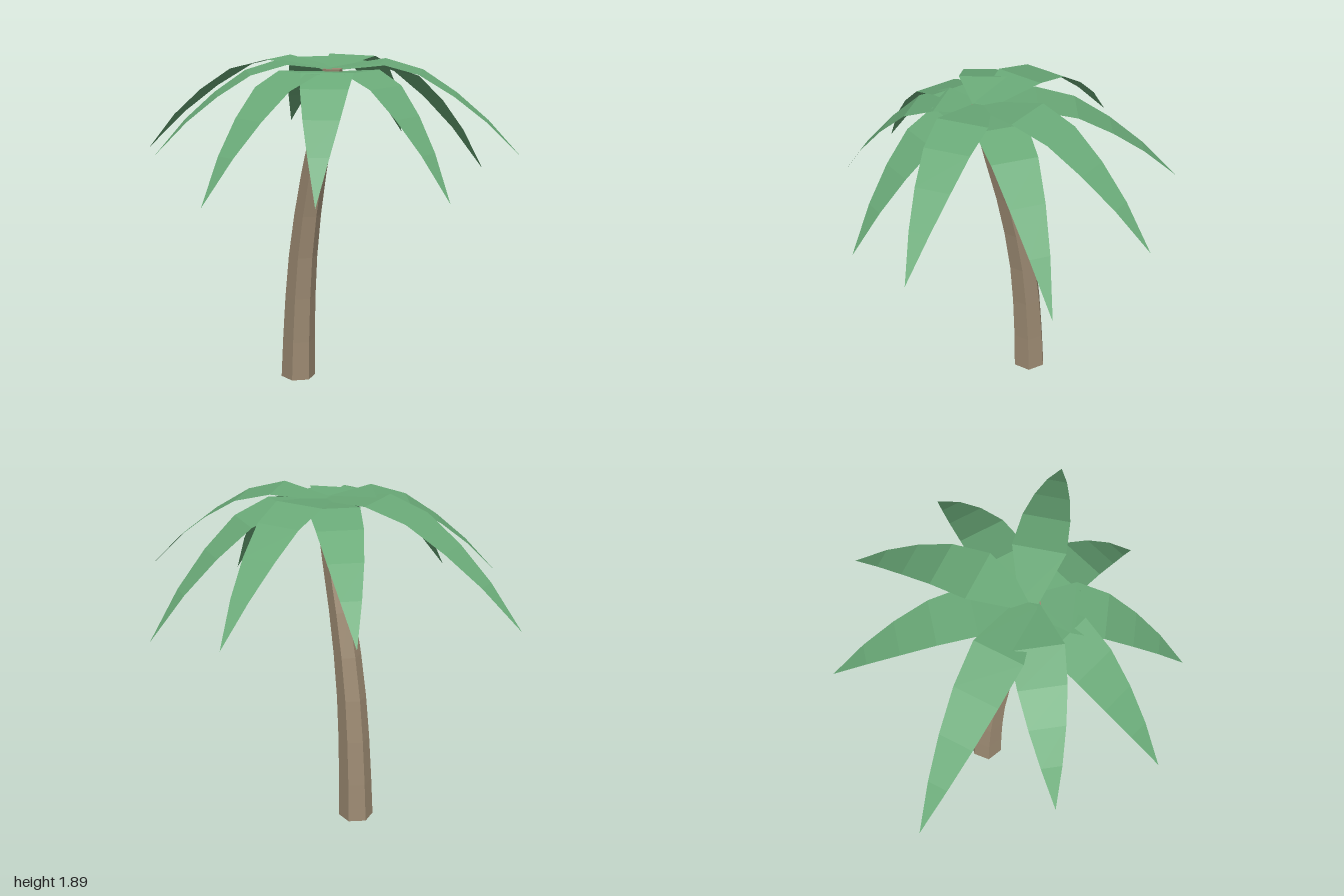
import * as THREE from 'three';

const barkMat = new THREE.MeshStandardMaterial({ color: 0x9c8a72, flatShading: true });
const leafMat = new THREE.MeshStandardMaterial({ color: 0x6aaa78, flatShading: true, side: THREE.DoubleSide });

const CROWN = new THREE.Vector3(0.13, 1.85, 0.035);

// Six-sided tapering trunk, bent along a curve
function makeTrunk() {
  const bend = new THREE.SplineCurve([
    [-0.167, 0], [-0.15, 0.4], [-0.11, 0.8], [-0.03, 1.2], [0.08, 1.6], [0.145, CROWN.y],
  ].map(([x, y]) => new THREE.Vector2(x, y)));
  const geo = new THREE.CylinderGeometry(0.055, 0.1, 1, 6, 8, false, Math.PI / 6);
  const pos = geo.attributes.position;
  for (let i = 0; i < pos.count; i++) {
    const t = THREE.MathUtils.clamp(pos.getY(i) + 0.5, 0, 1);
    const c = bend.getPoint(t);
    pos.setXYZ(i, pos.getX(i) + c.x, c.y, pos.getZ(i) + CROWN.z);
  }
  geo.computeVertexNormals();
  const mesh = new THREE.Mesh(geo, barkMat);
  mesh.name = 'trunk';
  return mesh;
}

// Leaf rows: share of the length, half width, share of the droop
const ROWS = [
  [0.27, 0.14, 0], [0.47, 0.125, 0.11], [0.65, 0.095, 0.34], [0.82, 0.055, 0.62], [1, 0, 1],
];

// Flat, drooping leaf from the crown to a pointed tip
function makeLeaf([tipX, tipY, tipZ, peakY]) {
  const dx = tipX - CROWN.x, dz = tipZ - CROWN.z;
  const length = Math.hypot(dx, dz);
  const sx = -dz / length, sz = dx / length;
  const baseY = peakY - (peakY > 1.87 ? 0.04 : 0.02);
  const verts = [], index = [];
  const addRow = (t, w, y) => {
    const x = CROWN.x + dx * t, z = CROWN.z + dz * t;
    verts.push(x + sx * w, y, z + sz * w, x - sx * w, y, z - sz * w);
  };
  addRow(0, 0.05, baseY);
  for (const [t, w, droop] of ROWS) addRow(t, w, peakY + (tipY - peakY) * droop);
  for (let i = 0; i < ROWS.length; i++) {
    const a = i * 2;
    index.push(a, a + 2, a + 1);
    if (i < ROWS.length - 1) index.push(a + 1, a + 2, a + 3);
  }
  const geo = new THREE.BufferGeometry();
  geo.setAttribute('position', new THREE.Float32BufferAttribute(verts, 3));
  geo.setIndex(index);
  geo.computeVertexNormals();
  return new THREE.Mesh(geo, leafMat);
}

export function createModel() {
  const model = new THREE.Group();
  model.name = 'palmTree';
  model.add(makeTrunk());

  // Crown: tip x, y, z and highest point of each leaf
  const crown = new THREE.Group();
  crown.name = 'crown';
  [
    [0.30, 1.19, -1.00, 1.865],
    [0.92, 1.39, -0.64, 1.895],
    [0.96, 1.23, -0.06, 1.85],
    [0.73, 1.27, 0.64, 1.855],
    [0.26, 1.24, 0.99, 1.85],
    [-0.35, 1.40, 0.87, 1.89],
    [-0.96, 1.32, 0.52, 1.895],
    [-0.81, 1.40, -0.43, 1.885],
    [-0.32, 1.34, -0.92, 1.895],
  ].forEach((spec, i) => {
    const leaf = makeLeaf(spec);
    leaf.name = `leaf${i + 1}`;
    crown.add(leaf);
  });
  model.add(crown);
  return model;
}
